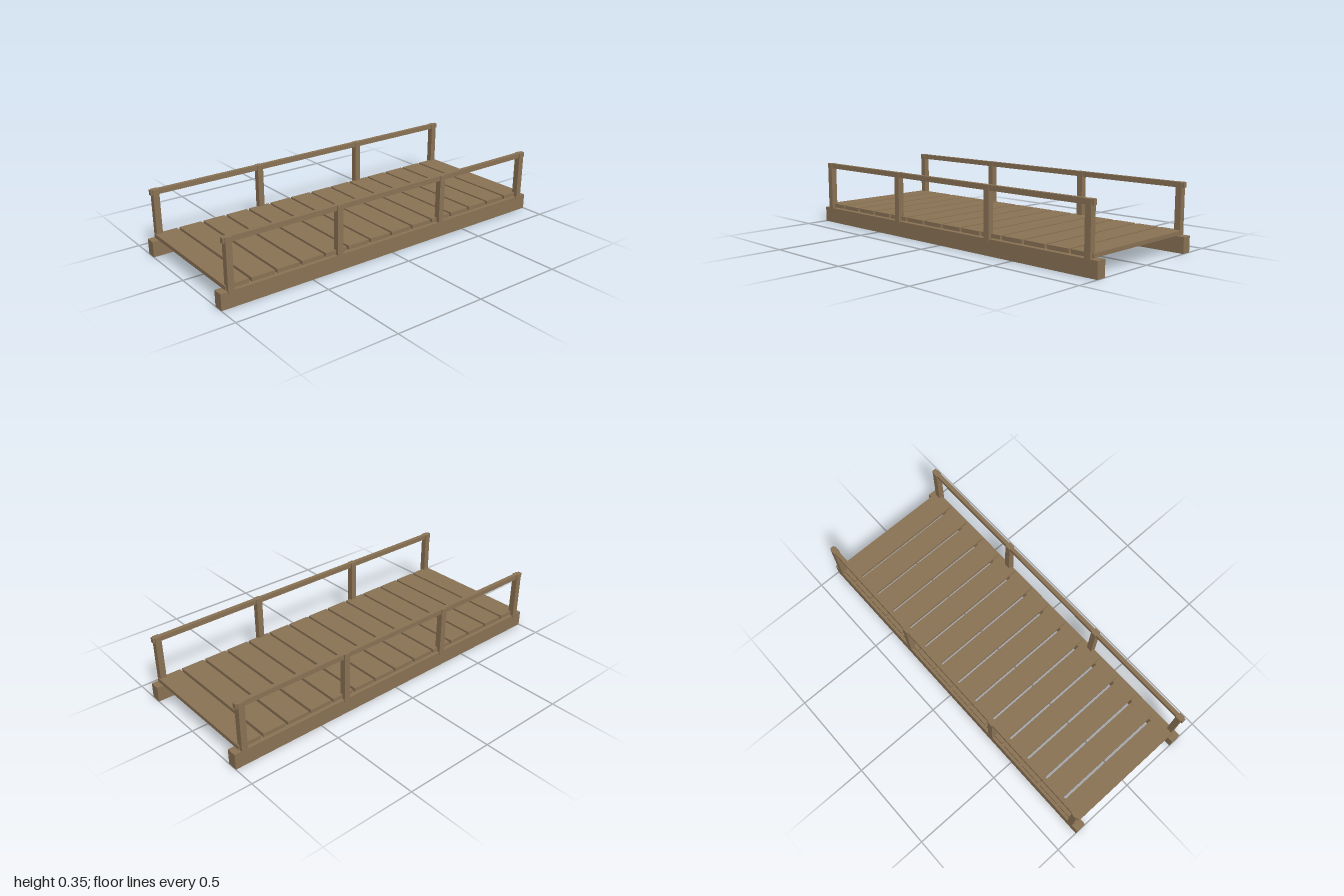
import * as THREE from 'three';

export function createModel() {
  const bridge = new THREE.Group();
  bridge.name = 'footbridge';
  const wood = new THREE.MeshStandardMaterial({ color: 0x8b7355 });
  wood.name = 'wood';

  // Box given by its size and centre
  const addBox = (name, w, h, d, x, y, z) => {
    const mesh = new THREE.Mesh(new THREE.BoxGeometry(w, h, d), wood);
    mesh.name = name;
    mesh.position.set(x, y, z);
    bridge.add(mesh);
  };

  // Deck planks, evenly spaced with narrow gaps
  const count = 14, pitch = 0.1393, plankWidth = 0.125;
  for (let i = 0; i < count; i++) {
    addBox('plank', 0.72, 0.021, plankWidth, 0, 0.0985, (i - (count - 1) / 2) * pitch);
  }

  for (const [side, s] of [['left', 1], ['right', -1]]) {
    // Long bearing beam under the deck edge
    addBox(side + 'Beam', 0.055, 0.084, 2, s * 0.3475, 0.042, 0);
    // Handrail
    addBox(side + 'Rail', 0.022, 0.027, 1.944, s * 0.361, 0.3335, 0);
    // Railing posts, let into the beam
    for (const z of [-0.945, -0.335, 0.335, 0.945]) {
      addBox(side + 'Post', 0.033, 0.277, 0.033, s * 0.361, 0.2085, z);
    }
  }
  return bridge;
}
